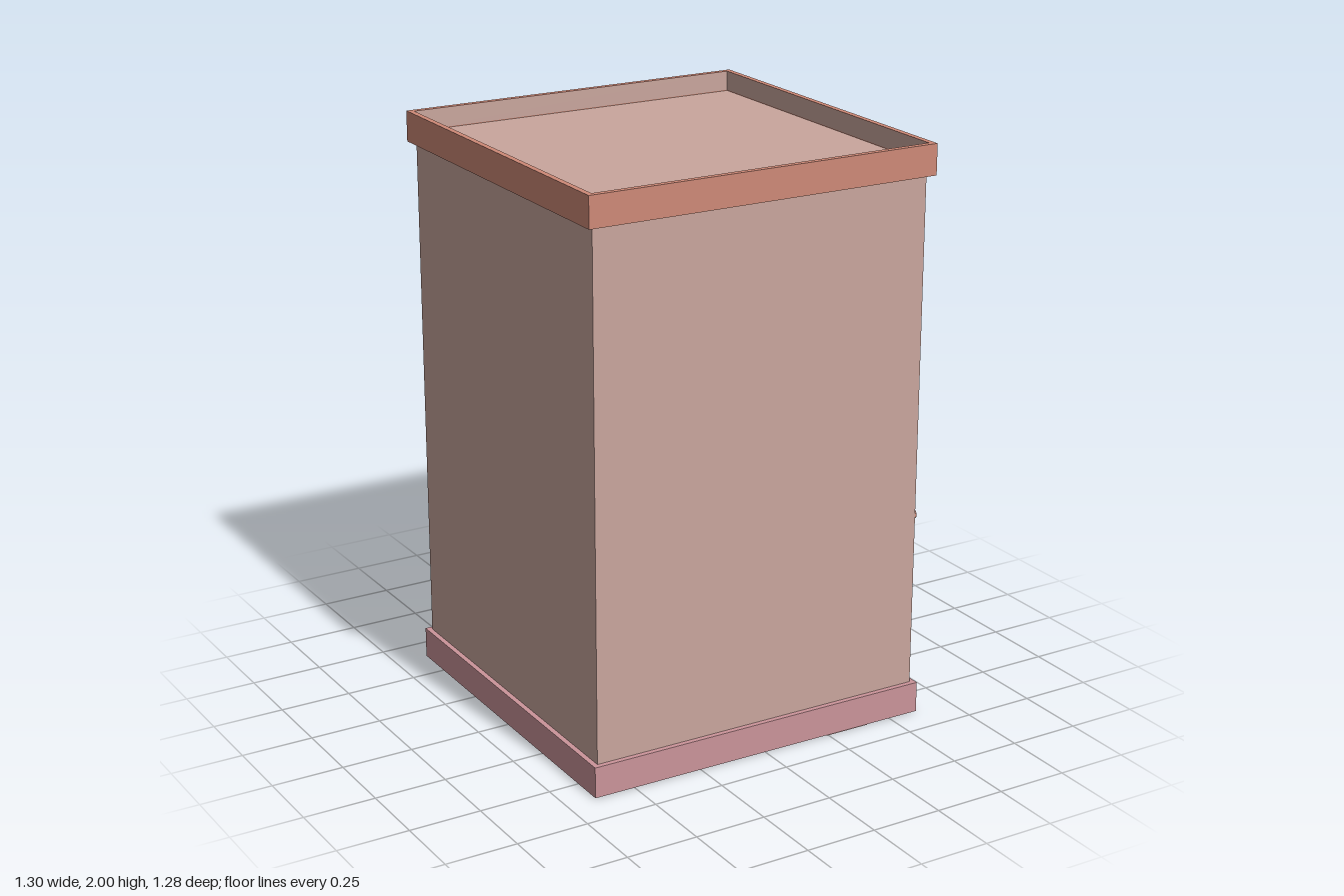
import * as THREE from 'three';

const mat = (name, color, side = THREE.FrontSide) => {
  const m = new THREE.MeshStandardMaterial({ color, side });
  m.name = name;
  return m;
};

export function createModel() {
  const M = {
    wall: mat('wall plaster', 0xc9a69d, THREE.DoubleSide),
    brick: mat('terracotta', 0xce8977),
    base: mat('base pink', 0xcb949a),
    wood: mat('wood brown', 0xa86c32),
    glass: mat('glass blue', 0x74bccb),
    frame: mat('frame grey', 0xc9c9c9, THREE.DoubleSide),
    purple: mat('purple', 0x9a388a),
    slate: mat('slate violet', 0x8f8abb),
    green: mat('green', 0x4c9f38),
    olive: mat('dark olive', 0x433a12),
  };
  const model = new THREE.Group();
  model.name = 'apartmentBlock';
  const building = new THREE.Group();
  building.name = 'building';
  building.rotation.y = -0.012;
  building.position.set(-0.011, 0, -0.002);
  model.add(building);

  const add = (parent, name, geometry, material, x = 0, y = 0, z = 0) => {
    const mesh = new THREE.Mesh(geometry, material);
    mesh.name = name;
    mesh.position.set(x, y, z);
    parent.add(mesh);
    return mesh;
  };
  const vectors = (pts) => pts.map(([x, y]) => new THREE.Vector2(x, y));
  const shapeOf = (pts, hole) => {
    const s = new THREE.Shape(vectors(pts));
    if (hole) s.holes.push(new THREE.Path(vectors(hole)));
    return s;
  };
  const slab = (pts, depth, hole) =>
    new THREE.ExtrudeGeometry(shapeOf(pts, hole), { depth, bevelEnabled: false });
  const square = (h) => [[-h, -h], [h, -h], [h, h], [-h, h]];
  const quad = (corners) => {
    const g = new THREE.BufferGeometry();
    g.setAttribute('position', new THREE.Float32BufferAttribute(corners.flat(), 3));
    g.setIndex([0, 1, 2, 0, 2, 3]);
    g.computeVertexNormals();
    return g;
  };
  // Each facade is drawn facing +z and then turned to its side
  const facade = (name, angle) => {
    const g = new THREE.Group();
    g.name = name;
    g.rotation.y = angle;
    building.add(g);
    return g;
  };

  const W = 0.61;
  const front = facade('entranceFacade', Math.PI / 2);
  const back = facade('brickFacade', Math.PI);
  const plainA = facade('plainFacadeFront', 0);
  const plainB = facade('plainFacadeSide', -Math.PI / 2);

  // Walls, with the doorway cut out of the entrance side
  const L = -0.132, R = 0.13, B = 0.14, T = 0.457;
  const doorway = [[L, B], [R, B], [R, T], [L, T]];
  for (const side of [back, plainA, plainB])
    add(side, 'wall', new THREE.PlaneGeometry(2 * W, 1.8), M.wall, 0, 1, W);
  add(front, 'wall', new THREE.ShapeGeometry(
    shapeOf([[-W, 0.1], [W, 0.1], [W, 1.9], [-W, 1.9]], doorway)), M.wall, 0, 0, W);

  // Plinth, cornice and sunken roof
  add(building, 'plinth', new THREE.BoxGeometry(1.256, 0.108, 1.256), M.base, 0, 0.056, 0);
  const cornice = slab(square(0.633), 0.105, square(0.613));
  cornice.rotateX(-Math.PI / 2);
  add(building, 'cornice', cornice, M.brick, 0, 1.895, 0);
  const roof = new THREE.PlaneGeometry(1.228, 1.228).rotateX(-Math.PI / 2);
  add(building, 'roof', roof, M.wall, 0, 1.93, 0);
  for (const side of [front, back, plainB])
    add(side, 'parapetLining', new THREE.PlaneGeometry(1.224, 0.066).rotateY(Math.PI),
      M.wall, 0, 1.966, 0.612);

  // Pointed wooden door surround and its recess
  add(front, 'doorSurround', slab(
    [[-0.332, 0.138], [0.321, 0.127], [0.332, 0.505], [0.008, 0.568], [-0.332, 0.517]],
    0.022, doorway.map(([x, y]) => [x, Math.max(y, 0.142)])), M.wood, 0, 0, 0.607);
  const F = 0.62, D = 0.3, l = -0.118, r = 0.1;
  add(front, 'doorRecessBack', quad([[l, B, D], [r, B, D], [r, T, D], [l, T, D]]), M.frame);
  add(front, 'doorRecessLeft', quad([[L, B, F], [l, B, D], [l, T, D], [L, T, F]]), M.frame);
  add(front, 'doorRecessRight', quad([[r, B, D], [R, B, F], [R, T, F], [r, T, D]]), M.wall);
  add(front, 'doorRecessFloor', quad([[L, B, F], [R, B, F], [r, B, D], [l, B, D]]), M.frame);
  add(front, 'doorRecessCeiling', quad([[l, T, D], [r, T, D], [R, T, F], [L, T, F]]), M.frame);

  // Crooked windows: corners from top left, clockwise, then the crossbar height
  const windows = [
    [[-0.416, 1.742], [-0.156, 1.742], [-0.156, 1.528], [-0.416, 1.525], 1.64],
    [[0.156, 1.748], [0.427, 1.758], [0.422, 1.538], [0.142, 1.545], 1.65],
    [[-0.416, 1.4], [-0.14, 1.4], [-0.13, 1.138], [-0.406, 1.13], 1.28],
    [[0.162, 1.4], [0.432, 1.4], [0.443, 1.135], [0.167, 1.135], 1.28],
    [[-0.395, 1.0], [-0.125, 1.007], [-0.109, 0.727], [-0.395, 0.716], 0.872],
    [[0.172, 1.006], [0.448, 1.0], [0.453, 0.732], [0.172, 0.722], 0.88],
  ];
  for (const [a, b, c, d, bar] of windows) {
    const i = 0.012;
    const outer = [a, d, c, b];
    const inner = [[a[0] + i, a[1] - i], [d[0] + i, d[1] + i],
      [c[0] - i, c[1] + i], [b[0] - i, b[1] - i]];
    const x0 = (a[0] + d[0]) / 2 + 0.006, x1 = (b[0] + c[0]) / 2 - 0.006;
    add(front, 'windowFrame', slab(outer, 0.044, inner), M.frame, 0, 0, 0.608);
    add(front, 'windowGlass', new THREE.ShapeGeometry(shapeOf(outer)), M.glass, 0, 0, 0.614);
    add(front, 'windowCrossbar', new THREE.BoxGeometry(x1 - x0, 0.018, 0.032),
      M.frame, (x0 + x1) / 2, bar, 0.626);
  }
  // Loose plank across the upper window
  const plank = add(front, 'plank', new THREE.BoxGeometry(0.175, 0.022, 0.012),
    M.wood, 0.232, 1.705, 0.64);
  plank.rotation.z = 0.47;

  // Exposed bricks with clipped corners: x, y, width, height
  const brick = (parent, [x, y, w, h]) => {
    const a = w / 2, b = h / 2, c = h * 0.28;
    add(parent, 'exposedBrick', slab([[-a, -b + c], [-a + c, -b], [a - c, -b], [a, -b + c],
      [a, b - c], [a - c, b], [-a + c, b], [-a, b - c]], 0.009), M.brick, x, y, W - 0.002);
  };
  [
    [-0.03, 1.87, 0.08, 0.05], [-0.528, 1.335, 0.1, 0.058], [-0.485, 1.188, 0.065, 0.027],
    [0.112, 1.204, 0.085, 0.033], [0.56, 1.082, 0.09, 0.042], [0.05, 0.9, 0.09, 0.048],
    [0.538, 0.773, 0.048, 0.026], [-0.575, 0.722, 0.068, 0.03], [-0.406, 0.35, 0.06, 0.027],
  ].forEach((b) => brick(front, b));
  [
    [-0.56, 1.78, 0.08, 0.04], [-0.456, 1.555, 0.11, 0.06], [-0.077, 1.73, 0.08, 0.05],
    [0.339, 1.63, 0.14, 0.08], [-0.303, 1.34, 0.14, 0.09], [-0.465, 1.07, 0.16, 0.08],
    [0.249, 1.18, 0.16, 0.09], [0.46, 0.98, 0.14, 0.05], [-0.42, 0.65, 0.17, 0.1],
    [-0.122, 0.48, 0.19, 0.13], [0.357, 0.435, 0.17, 0.08], [-0.49, 0.2, 0.22, 0.09],
    [0.05, 0.215, 0.11, 0.05],
  ].forEach((b) => brick(back, b));

  // Wavy coloured bands under the base: from x, to x, from z, to z
  const H = 0.628, N = 16;
  const band = (name, material, x0, x1, z0 = -H, z1 = H, lift = 0.001) => {
    const wave = (x, z) => (Math.abs(x) === H ? x : x + 0.012 * Math.sin(z * 11 + x * 5));
    const edge = (x) => Array.from({ length: N + 1 }, (_, k) => {
      const z = z0 + ((z1 - z0) * k) / N;
      return [wave(x, z), z];
    });
    const g = new THREE.ShapeGeometry(shapeOf([...edge(x0), ...edge(x1).reverse()]));
    g.rotateX(Math.PI / 2);
    add(building, name, g, material, 0, lift, 0);
  };
  band('undersideBrown', M.wood, 0.29, H);
  band('undersidePurple', M.purple, 0.1, 0.29);
  band('undersideSlate', M.slate, -0.05, 0.1);
  band('undersideBlue', M.glass, -0.19, -0.05);
  band('undersideGreen', M.green, -0.43, -0.19);
  band('undersideBrown', M.wood, -H, -0.43);
  band('undersideOlive', M.olive, 0.5, H, -H, -0.1, 0);
  band('undersideOlive', M.olive, -H, -0.25, -H, -0.45, 0);
  band('undersideGreen', M.green, 0.45, 0.6, 0.4, 0.58, 0);
  band('undersideMauve', M.wall, 0.25, 0.42, 0.1, H, 0);

  return model;
}
